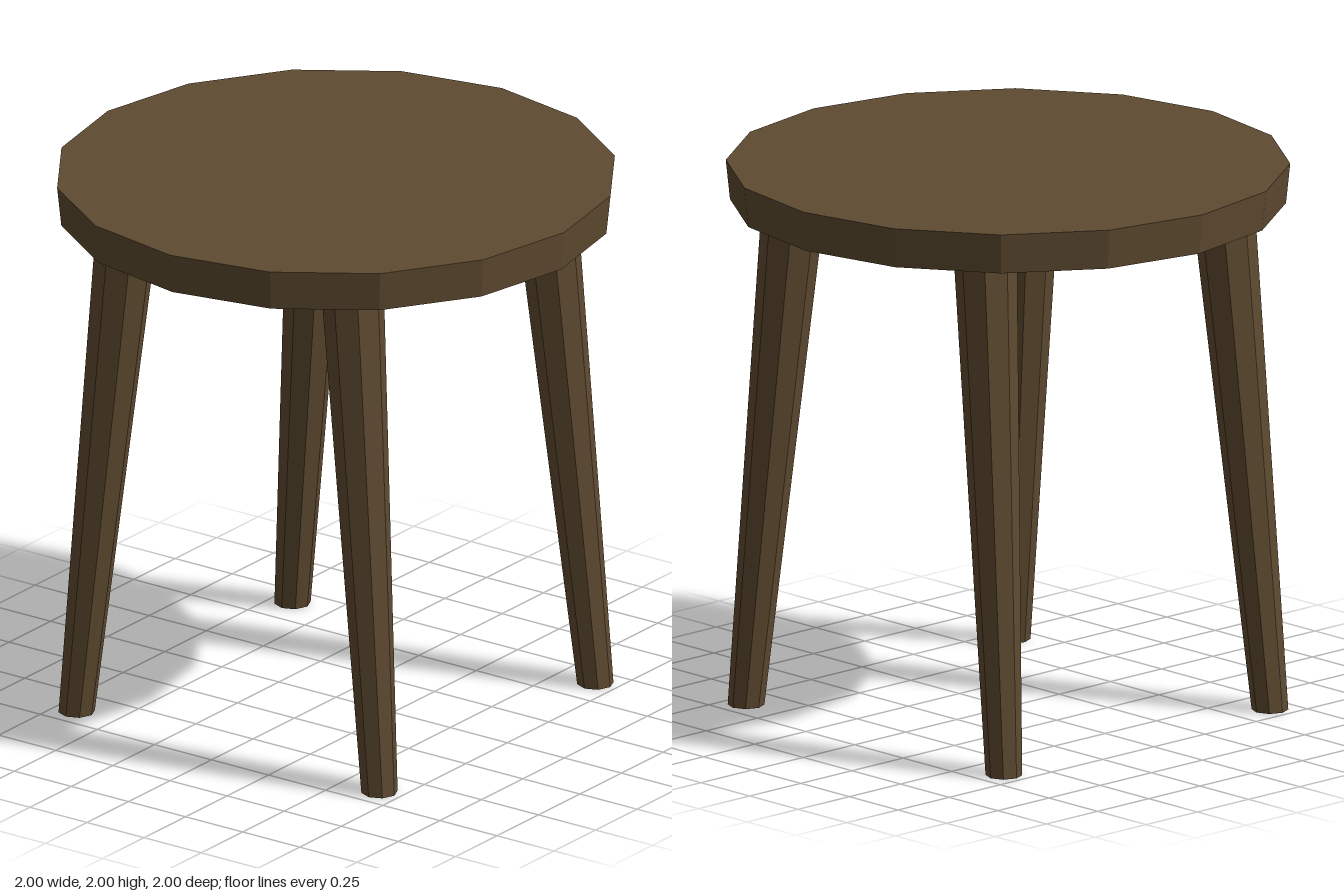
import * as THREE from 'three';

const wood = new THREE.MeshStandardMaterial({ color: 0x5e4a30, flatShading: true });

const LEG_HEIGHT = 1.84;

// Tapered eight-sided leg, sheared so both ends stay level
function makeLeg(sx, sz) {
  const foot = { x: 0.65, z: 0.663 };
  const top = { x: 0.58, z: 0.495 };
  const geo = new THREE.CylinderGeometry(0.112, 0.065, LEG_HEIGHT, 8);
  geo.translate(0, LEG_HEIGHT / 2, 0);
  const pos = geo.attributes.position;
  for (let i = 0; i < pos.count; i++) {
    const t = pos.getY(i) / LEG_HEIGHT;
    pos.setX(i, pos.getX(i) + sx * THREE.MathUtils.lerp(foot.x, top.x, t));
    pos.setZ(i, pos.getZ(i) + sz * THREE.MathUtils.lerp(foot.z, top.z, t));
  }
  geo.computeVertexNormals();
  return new THREE.Mesh(geo, wood);
}

export function createModel() {
  const stool = new THREE.Group();
  stool.name = 'stool';

  // Round seat, slightly narrower underneath
  const seat = new THREE.Mesh(new THREE.CylinderGeometry(1, 0.985, 0.145, 16), wood);
  seat.name = 'seat';
  seat.position.y = 2 - 0.145 / 2;
  stool.add(seat);

  // Four splayed legs
  for (const sz of [1, -1]) {
    for (const sx of [1, -1]) {
      const leg = makeLeg(sx, sz);
      leg.name = (sz > 0 ? 'front' : 'back') + (sx > 0 ? 'Left' : 'Right') + 'Leg';
      stool.add(leg);
    }
  }
  return stool;
}
